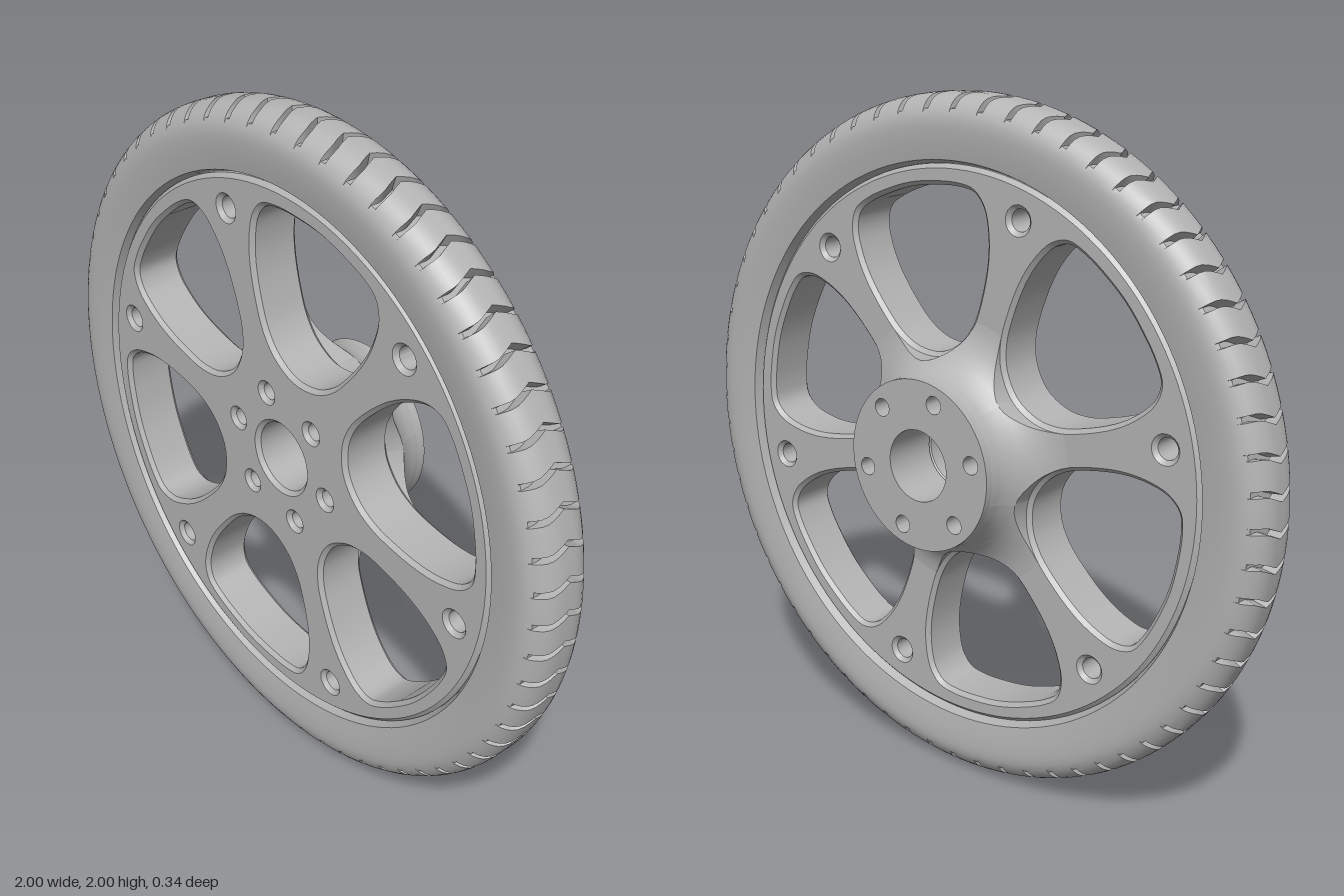
import * as THREE from 'three';
import { toCreasedNormals } from 'three/addons/utils/BufferGeometryUtils.js';

const SPOKES = 6;
const SPOKE_ANGLE = THREE.MathUtils.degToRad(47.5);
const STEP = Math.PI * 2 / SPOKES;
const MID_Z = 0.069;      // centre plane of the tyre
const RIM_BACK = -0.006;  // back face of the spoked disc
const RIM_FRONT = 0.15;
const HUB_BACK = -0.168;

// Skin between consecutive rows of points
function skin(rows, closed) {
  const n = rows[0].length, index = [];
  const last = closed ? rows.length : rows.length - 1;
  for (let i = 0; i < last; i++) {
    const k = (i + 1) % rows.length;
    for (let j = 0; j < n - 1; j++) {
      const a = i * n + j, b = k * n + j;
      index.push(a, a + 1, b, b, a + 1, b + 1);
    }
  }
  const geo = new THREE.BufferGeometry().setFromPoints(rows.flat());
  geo.setIndex(index);
  return toCreasedNormals(geo, 0.6);
}

const polar = (r, a, z) => new THREE.Vector3(r * Math.cos(a), r * Math.sin(a), z);

function circle(radius, n, Type = THREE.Path, cx = 0, cy = 0) {
  const pts = [];
  for (let i = 0; i < n; i++) {
    const a = i / n * Math.PI * 2;
    pts.push(new THREE.Vector2(cx + radius * Math.cos(a), cy + radius * Math.sin(a)));
  }
  return new Type(pts);
}

// One hole on every spoke line
function boltHoles(pitch, radius) {
  return Array.from({ length: SPOKES }, (_, i) => {
    const a = SPOKE_ANGLE + i * STEP;
    return circle(radius, 20, THREE.Path, pitch * Math.cos(a), pitch * Math.sin(a));
  });
}

// Window outline: x is radial, y is sideways, starting at the inner tip
function windowOutline() {
  const half = [[0.3, 0.085], [0.35, 0.145], [0.42, 0.19], [0.52, 0.235], [0.6, 0.253],
    [0.67, 0.252], [0.72, 0.225], [0.745, 0.17], [0.762, 0.08]];
  const pts = [[0.277, 0], ...half, [0.768, 0], ...half.map(([u, v]) => [u, -v]).reverse()];
  const curve = new THREE.CatmullRomCurve3(pts.map(([u, v]) => new THREE.Vector3(u, v, 0)), true);
  return curve.getPoints(80).slice(0, -1).map(p => new THREE.Vector2(p.x, p.y));
}

// Disc with windows and chamfered edges
function spokedDisc(outline) {
  const shape = circle(0.8, 128, THREE.Shape);
  shape.holes.push(circle(0.116, 40), ...boltHoles(0.195, 0.037), ...boltHoles(0.717, 0.043));
  for (let i = 0; i < SPOKES; i++) {
    const a = SPOKE_ANGLE + (i + 0.5) * STEP;
    shape.holes.push(new THREE.Path(outline.map(p => p.clone().rotateAround(new THREE.Vector2(), a))));
  }
  const bevel = 0.012;
  const geo = new THREE.ExtrudeGeometry(shape, {
    depth: RIM_FRONT - RIM_BACK - 2 * bevel, bevelEnabled: true,
    bevelSize: bevel, bevelThickness: bevel, bevelSegments: 1
  });
  geo.translate(0, 0, RIM_BACK + bevel);
  return toCreasedNormals(geo, 0.5);
}

// Rear boss with the axle bore and bolt holes
function hubBoss() {
  const shape = circle(0.247, 64, THREE.Shape);
  shape.holes.push(circle(0.104, 40), ...boltHoles(0.195, 0.026));
  const geo = new THREE.ExtrudeGeometry(shape, { depth: RIM_BACK + 0.004 - HUB_BACK, bevelEnabled: false });
  geo.translate(0, 0, HUB_BACK);
  return toCreasedNormals(geo, 0.5);
}

// Concave fillet running from the boss out along one spoke, trimmed by the windows
function spokeFlare(outline) {
  const r0 = 0.246, r1 = 0.41, top = -0.152;
  const stations = [r0, 0.25, 0.255, 0.265].map(r => [r, STEP / 2]);
  for (const p of outline.slice(0, 40)) {
    if (p.length() < r1) stations.push([p.length(), STEP / 2 - Math.atan2(p.y, p.x)]);
  }
  const base = RIM_BACK + 0.003, n = 12;
  const rows = stations.map(([r, half]) => {
    const t = (r1 - r) / (r1 - r0);
    const z = top + (RIM_BACK - top) * Math.sqrt(Math.max(0, 1 - t * t));
    const row = [polar(r, -half, base)];
    for (let j = 0; j <= n; j++) row.push(polar(r, half * (2 * j / n - 1), z));
    row.push(polar(r, half, base));
    return row;
  });
  return skin(rows, false);
}

// Tyre: profile swept round the axle with zigzag tread grooves cut into it
function tyre() {
  const side = [[0.79, 0.055], [0.812, 0.058], [0.824, 0.088], [0.87, 0.096], [0.905, 0.0985]];
  for (let i = 0; i <= 8; i++) {
    const a = i / 8 * Math.PI / 2;
    side.push([0.92 + 0.08 * Math.sin(a), 0.0185 + 0.08 * Math.cos(a)]);
  }
  const profile = [...side, [1, 0], ...side.map(([r, z]) => [r, -z]).reverse()];
  const grooves = 64, floor = 0.96, w = 0.009;
  const columns = [[-w, false], [-w * 0.85, true], [w * 0.85, true], [w, false], [Math.PI / grooves, false]];
  const rows = [];
  for (let g = 0; g < grooves; g++) {
    const a0 = Math.PI / 2 + g * Math.PI * 2 / grooves;
    for (const [da, cut] of columns) {
      rows.push(profile.map(([r, z]) => {
        const zigzag = 0.024 * Math.max(0, 1 - Math.abs(z) / 0.055);
        return polar(cut ? Math.min(r, floor) : r, a0 + da + zigzag, MID_Z + z);
      }));
    }
  }
  return skin(rows, true);
}

export function createModel() {
  const model = new THREE.Group();
  model.name = 'wheel';
  const grey = new THREE.MeshStandardMaterial({ color: 0xb4b4b4 });
  grey.name = 'grey';
  const add = (name, geo) => {
    const mesh = new THREE.Mesh(geo, grey);
    mesh.name = name;
    mesh.position.y = 1;
    model.add(mesh);
    return mesh;
  };

  const outline = windowOutline();
  add('tyre', tyre());
  add('spokedDisc', spokedDisc(outline));
  add('hubBoss', hubBoss());
  const flare = spokeFlare(outline);
  for (let i = 0; i < SPOKES; i++) add('spokeFlare', flare).rotation.z = SPOKE_ANGLE + i * STEP;
  return model;
}
